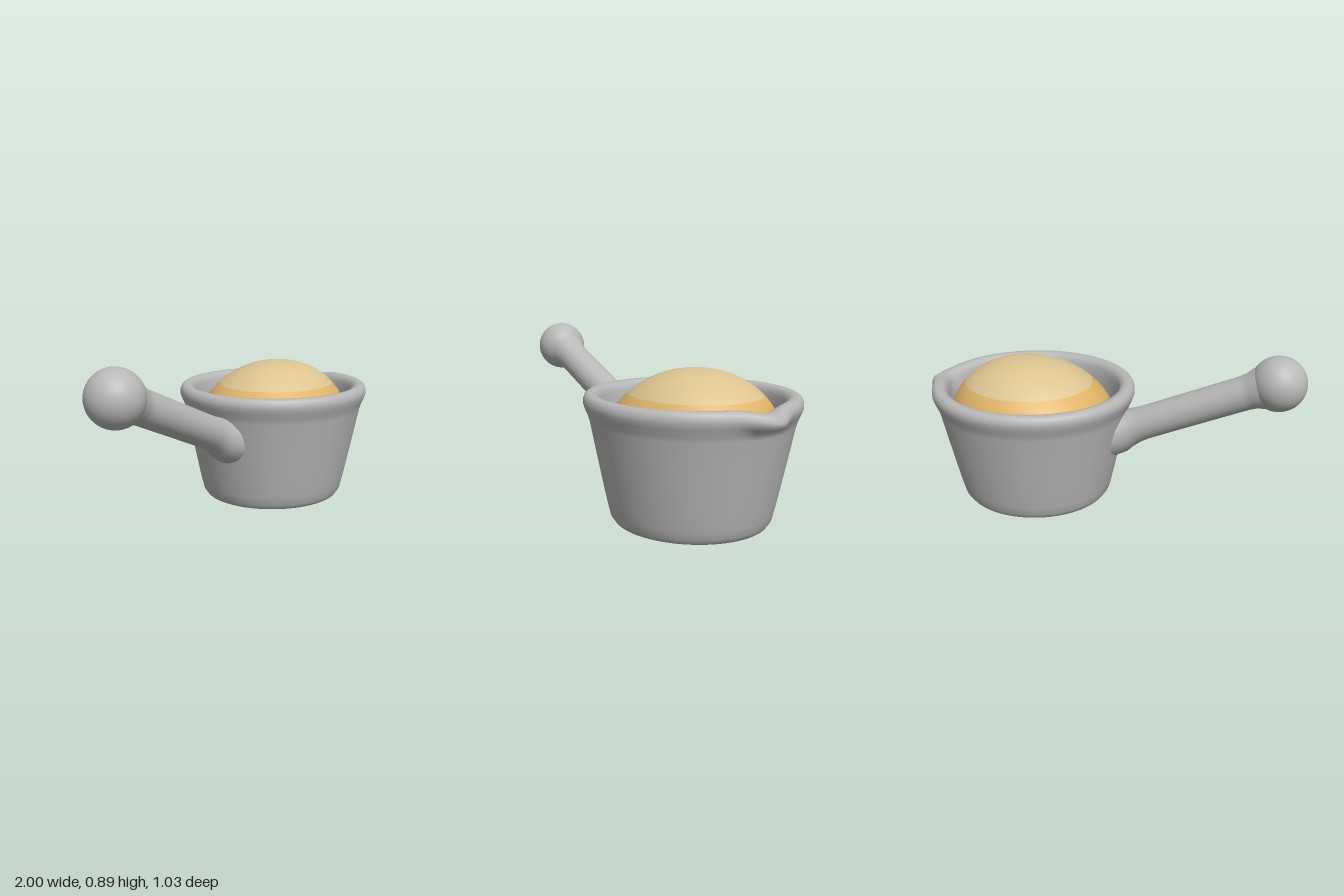
import * as THREE from 'three';
import { mergeVertices } from 'three/addons/utils/BufferGeometryUtils.js';

const CENTER_X = 0.405;
const metal = new THREE.MeshStandardMaterial({ name: 'grey metal', color: 0xb8b8b8 });
const amber = new THREE.MeshStandardMaterial({ name: 'amber broth', color: 0xe0b468 });
const cream = new THREE.MeshStandardMaterial({ name: 'pale cream', color: 0xdcc490 });

const toPoints = (list) => list.map(([r, y]) => new THREE.Vector2(r, y));
const smooth = THREE.MathUtils.smoothstep;

// Move every vertex by a rule, weld the lathe seam and rebuild smooth normals
function reshape(geometry, rule) {
  const position = geometry.attributes.position;
  const v = new THREE.Vector3();
  for (let i = 0; i < position.count; i++) {
    rule(v.fromBufferAttribute(position, i));
    position.setXYZ(i, v.x, v.y, v.z);
  }
  geometry.deleteAttribute('uv');
  geometry.deleteAttribute('normal');
  const welded = mergeVertices(geometry, 1e-5);
  welded.computeVertexNormals();
  return welded;
}

function addPart(group, name, geometry, material) {
  const mesh = new THREE.Mesh(geometry, material);
  mesh.name = name;
  group.add(mesh);
  return mesh;
}

// Hollow tapered pot with a rolled rim, pulled out into a pouring lip at +x
function potGeometry() {
  const profile = toPoints([
    [0, 0], [0.2, 0], [0.34, 0.001], [0.372, 0.01], [0.389, 0.035], [0.4, 0.08],
    [0.415, 0.15], [0.45, 0.325], [0.484, 0.5], [0.493, 0.53], [0.506, 0.56],
    [0.514, 0.585], [0.514, 0.605], [0.507, 0.625], [0.492, 0.636], [0.465, 0.636],
    [0.445, 0.625], [0.434, 0.6], [0.428, 0.56], [0.42, 0.5], [0.408, 0.4],
    [0.375, 0.15], [0.34, 0.09], [0.2, 0.06], [0, 0.06],
  ]);
  return reshape(new THREE.LatheGeometry(profile, 96), (v) => {
    const radius = Math.hypot(v.x, v.z);
    const angle = Math.atan2(v.z, v.x);
    const lip = Math.exp(-((angle / 0.2) ** 2)) * smooth(v.y, 0.53, 0.58) * smooth(radius, 0.38, 0.51);
    v.x = v.x * 1.05 + CENTER_X + 0.055 * lip;
    v.y -= 0.025 * lip;
  });
}

// Sloping handle, flared at both ends and trimmed inside the pot wall
function handleGeometry() {
  const profile = toPoints([
    [0.125, 0], [0.12, 0.06], [0.105, 0.1], [0.092, 0.15], [0.087, 0.2],
    [0.086, 0.5], [0.086, 0.75], [0.09, 0.79], [0.103, 0.825], [0.11, 0.87],
  ]);
  const geometry = new THREE.LatheGeometry(profile, 40);
  geometry.rotateZ(Math.PI / 2 - Math.atan(0.44));
  geometry.translate(-0.02, 0.384, 0);
  return reshape(geometry, (v) => {
    v.x = Math.min(v.x, -0.045 - (v.y - 0.3) * 0.22);
  });
}

// Band of a flattened dome between two polar angles, peak leaning toward the lip
function domeGeometry(from, to) {
  const points = [];
  for (let i = 0; i <= 16; i++) {
    const a = THREE.MathUtils.lerp(from, to, i / 16);
    points.push(new THREE.Vector2(0.41 * Math.sin(a), 0.35 * Math.cos(a)));
  }
  return reshape(new THREE.LatheGeometry(points, 72), (v) => {
    v.x = v.x * 1.1 + CENTER_X + 0.12 * v.y;
    v.y += 0.405;
  });
}

export function createModel() {
  const model = new THREE.Group();
  model.name = 'saucepan';

  addPart(model, 'pot', potGeometry(), metal);
  addPart(model, 'handle', handleGeometry(), metal);
  const knob = addPart(model, 'handleKnob', new THREE.SphereGeometry(0.136, 40, 28), metal);
  knob.position.set(-0.864, 0.751, 0);

  // Two-tone domed filling
  const border = Math.asin(0.757);
  addPart(model, 'fillingEdge', domeGeometry(Math.PI / 2, border), amber);
  addPart(model, 'fillingTop', domeGeometry(border, 0), cream);

  return model;
}
